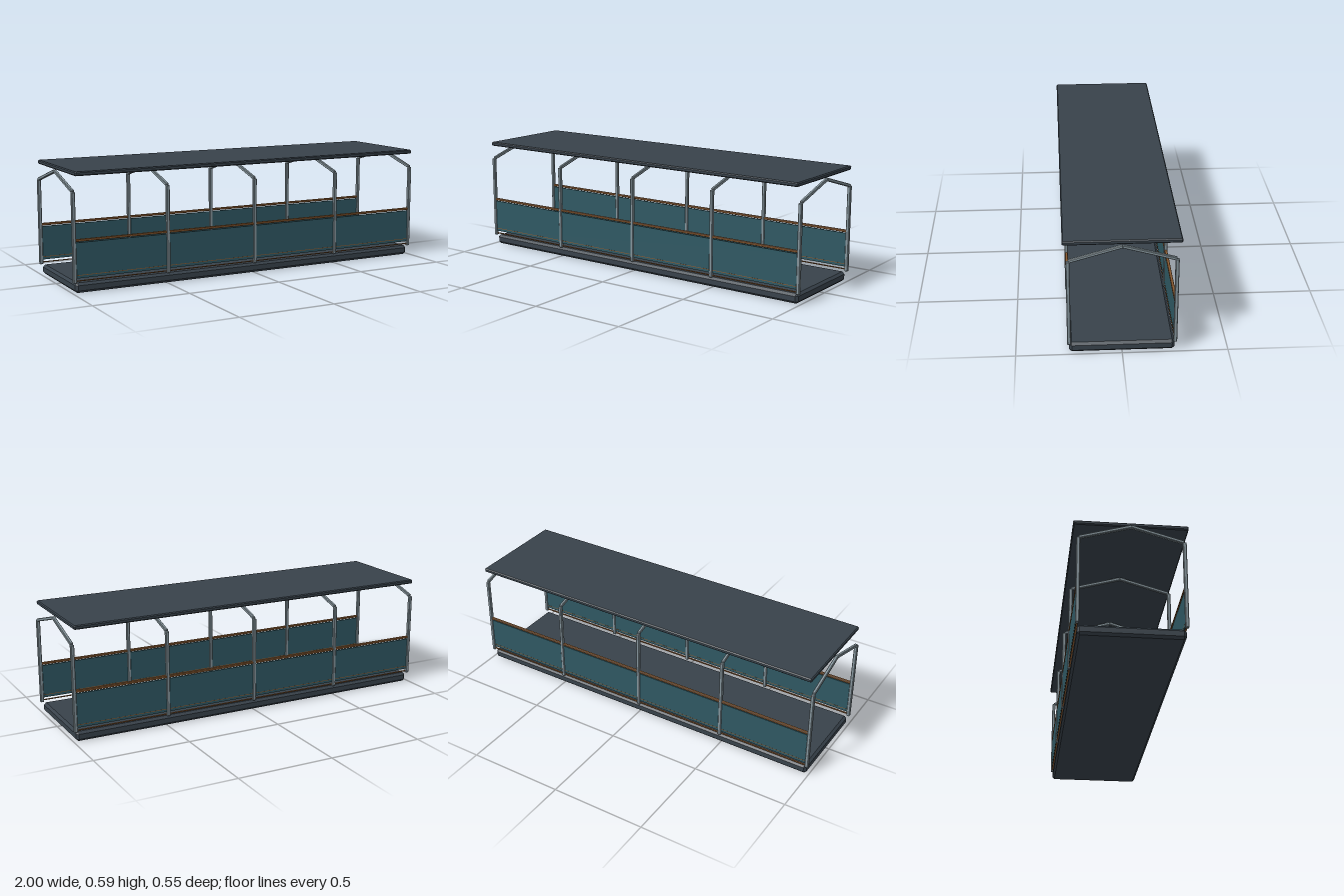
import * as THREE from 'three';
import { ConvexGeometry } from 'three/addons/geometries/ConvexGeometry.js';

const mat = (color) => new THREE.MeshStandardMaterial({ color });
const dark = mat(0x38424b), steel = mat(0x84939a), teal = mat(0x2f5863), wood = mat(0x8a5a30);

// Box with flat chamfers of size c along every edge
function chamferBox(w, h, d, c) {
  const points = [];
  for (const x of [-1, 1]) for (const y of [-1, 1]) for (const z of [-1, 1]) {
    for (let axis = 0; axis < 3; axis++) {
      const inset = [c, c, c];
      inset[axis] = 0;
      points.push(new THREE.Vector3(
        x * (w / 2 - inset[0]), y * (h / 2 - inset[1]), z * (d / 2 - inset[2])));
    }
  }
  return new ConvexGeometry(points);
}

function add(parent, name, geometry, material, x, y, z) {
  const mesh = new THREE.Mesh(geometry, material);
  mesh.name = name;
  mesh.position.set(x, y, z);
  parent.add(mesh);
  return mesh;
}

export function createModel() {
  const model = new THREE.Group();
  model.name = 'coveredWalkway';
  const length = 1.972, sideZ = 0.249;

  // Deck and flat roof
  add(model, 'deck', chamferBox(length, 0.05, 0.497, 0.012), dark, 0, 0.025, 0);
  add(model, 'roof', chamferBox(length, 0.021, 0.546, 0.005), dark, 0, 0.584, 0);

  // Five portal frames: two posts and two sloping rafters each
  const post = chamferBox(0.018, 0.445, 0.018, 0.003);
  const run = 0.246, rise = 0.071;
  const rafter = chamferBox(0.016, 0.016, Math.hypot(run, rise) + 0.002, 0.003);
  for (let i = -2; i <= 2; i++) {
    const frame = new THREE.Group();
    frame.name = 'portalFrame';
    frame.position.x = i * 0.4955;
    for (const s of [-1, 1]) {
      add(frame, 'post', post, steel, 0, 0.274, s * sideZ);
      const beam = add(frame, 'rafter', rafter, steel, 0, 0.533, s * run / 2);
      beam.rotation.x = s * Math.atan2(rise, run);
    }
    model.add(frame);
  }

  // Side panels with handrail, lower trim and toe rail
  const panel = new THREE.BoxGeometry(length, 0.175, 0.008);
  const handrail = chamferBox(length, 0.012, 0.014, 0.002);
  const trim = new THREE.BoxGeometry(length, 0.003, 0.009);
  const toeRail = new THREE.BoxGeometry(length, 0.004, 0.008);
  for (const s of [-1, 1]) {
    add(model, 'sidePanel', panel, teal, 0, 0.163, s * sideZ);
    add(model, 'handrail', handrail, wood, 0, 0.261, s * sideZ);
    add(model, 'panelTrim', trim, wood, 0, 0.09, s * sideZ);
    add(model, 'toeRail', toeRail, wood, 0, 0.062, s * sideZ);
  }
  return model;
}
